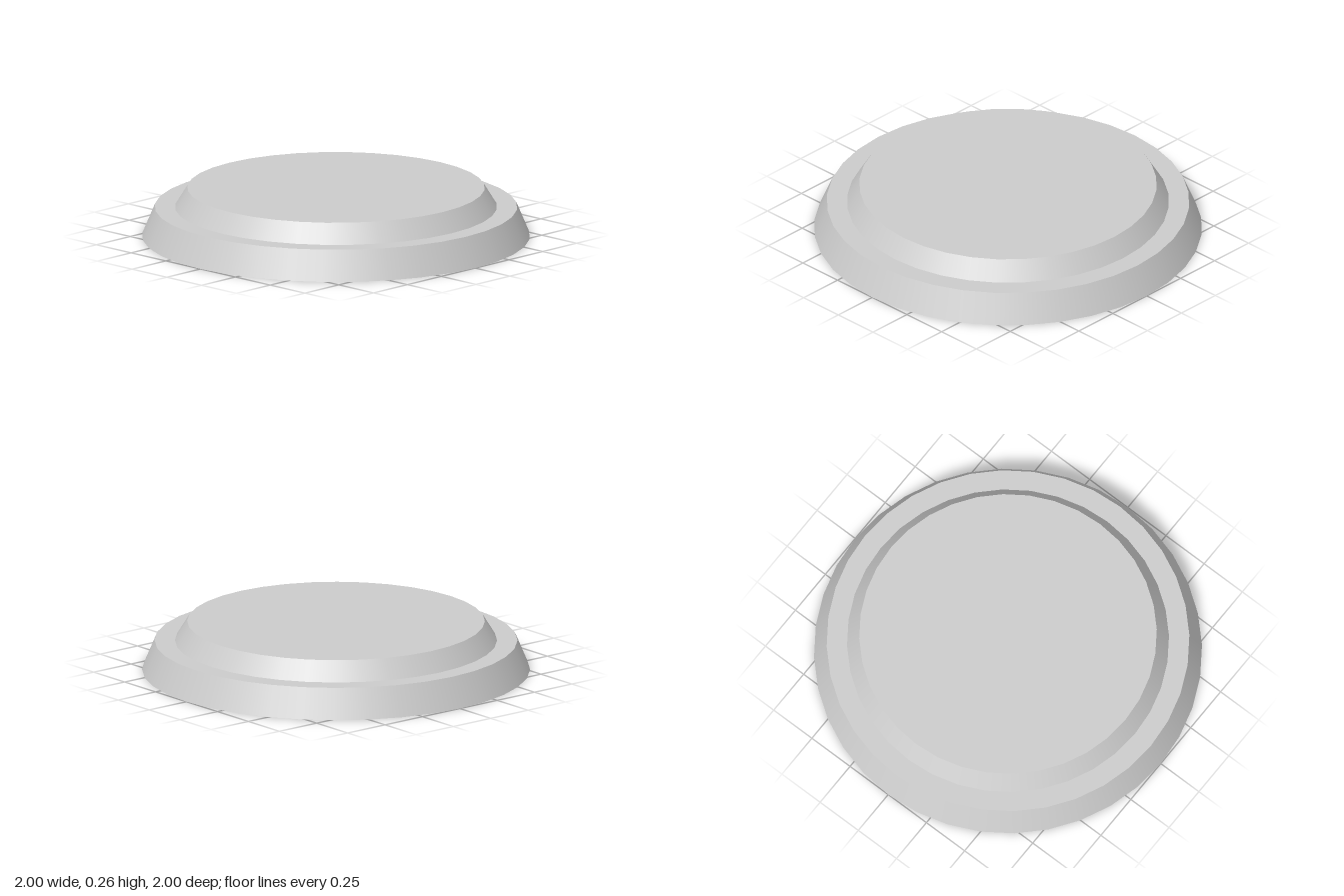
import * as THREE from 'three';

const SIDES = 36;

export function createModel() {
  const model = new THREE.Group();
  model.name = 'steppedRoundBase';
  const material = new THREE.MeshStandardMaterial({ color: 0xcccccc, side: THREE.DoubleSide });

  const add = (name, geometry) => {
    const mesh = new THREE.Mesh(geometry, material);
    mesh.name = name;
    model.add(mesh);
    return mesh;
  };

  // Thin shell, open underneath: one band per profile step keeps the rims sharp
  const bands = [
    ['lowerWall', [1, 0], [0.935, 0.155]],
    ['ledge', [0.935, 0.155], [0.83, 0.155]],
    ['upperWall', [0.83, 0.155], [0.767, 0.257]],
  ];
  for (const [name, from, to] of bands) {
    const profile = [new THREE.Vector2(...from), new THREE.Vector2(...to)];
    add(name, new THREE.LatheGeometry(profile, SIDES));
  }

  // Flat top disc
  const top = add('topDisc', new THREE.CircleGeometry(0.767, SIDES));
  top.rotation.x = -Math.PI / 2;
  top.position.y = 0.257;

  return model;
}
